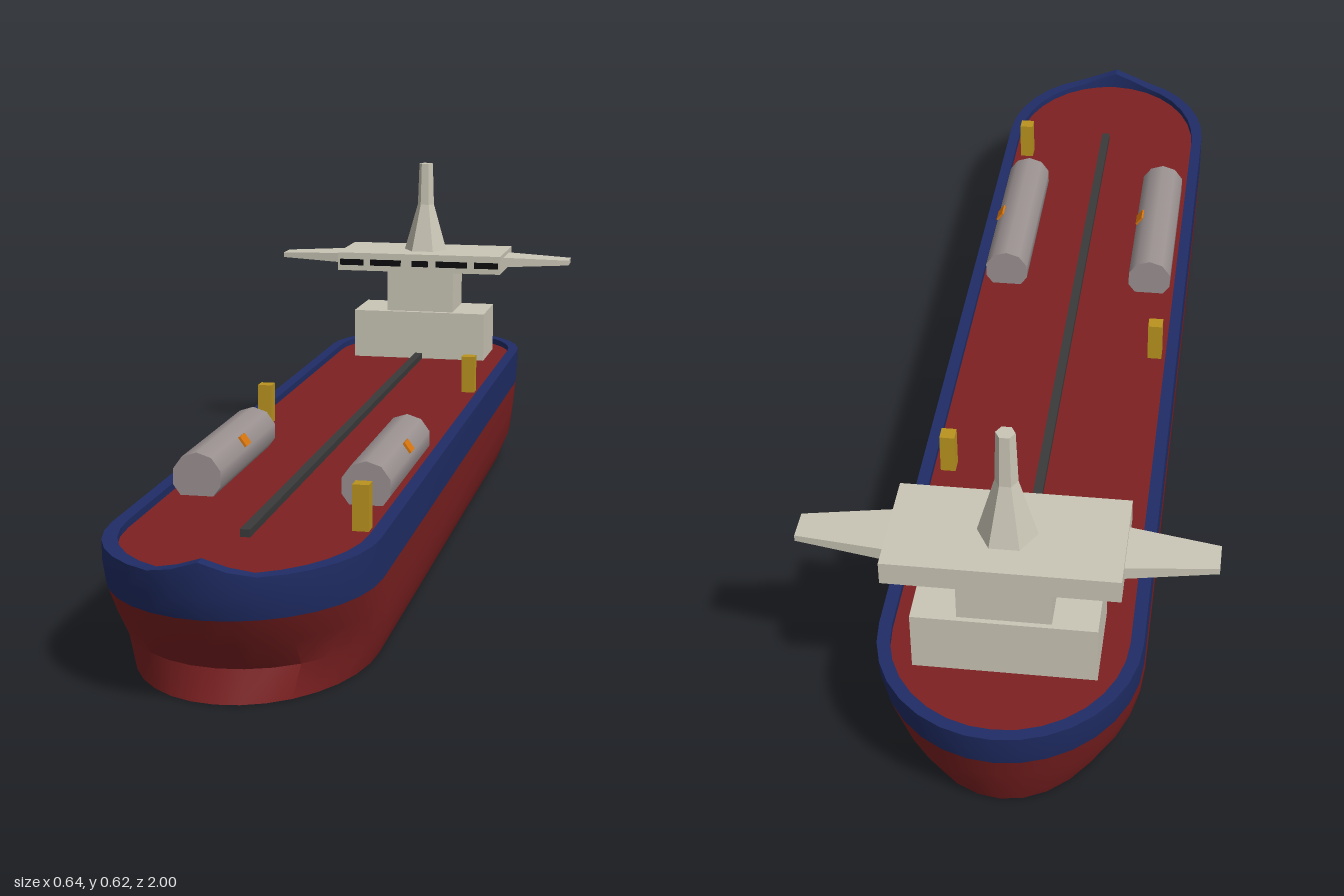
import * as THREE from 'three';
import { toCreasedNormals } from 'three/addons/utils/BufferGeometryUtils.js';

const mat = (name, color) => {
  const m = new THREE.MeshStandardMaterial({ color });
  m.name = name;
  return m;
};

const N = 8; // outline segments per quarter

// Closed waterline: bow tip -> left side -> stern -> right side
function ring(y, w, bow, stern, bowLen, sternLen, peak = 0) {
  const half = [];
  for (let i = 0; i <= N; i++) {
    const a = (i / N) * Math.PI / 2;
    half.push([w * Math.sin(a), bow - bowLen * (1 - Math.cos(a))]);
  }
  for (let i = 0; i <= N; i++) {
    const a = (i / N) * Math.PI / 2;
    half.push([w * Math.cos(a), stern + sternLen * (1 - Math.sin(a))]);
  }
  const other = half.slice(1, -1).reverse().map(([x, z]) => [-x, z]);
  return [...half, ...other].map(([x, z]) => {
    const rise = z > 0 ? peak * Math.max(0, 1 - Math.abs(x) / 0.065) : 0;
    return new THREE.Vector3(x, y + rise, z);
  });
}

// Skin between successive rings, with optional flat caps
function loft(rings, capBottom = false, capTop = false) {
  const pos = [];
  const tri = (...vs) => vs.forEach((v) => pos.push(v.x, v.y, v.z));
  const n = rings[0].length;
  for (let k = 0; k < rings.length - 1; k++) {
    for (let i = 0; i < n; i++) {
      const j = (i + 1) % n;
      const [a, b, c, d] = [rings[k][i], rings[k][j], rings[k + 1][j], rings[k + 1][i]];
      tri(a, b, c);
      tri(a, c, d);
    }
  }
  const cap = (r, up) => {
    const mid = new THREE.Vector3(0, r[0].y, 0);
    for (let i = 0; i < n; i++) {
      const j = (i + 1) % n;
      if (up) tri(mid, r[i], r[j]);
      else tri(mid, r[j], r[i]);
    }
  };
  if (capBottom) cap(rings[0], false);
  if (capTop) cap(rings[rings.length - 1], true);
  const g = new THREE.BufferGeometry();
  g.setAttribute('position', new THREE.Float32BufferAttribute(pos, 3));
  return toCreasedNormals(g, 0.6);
}

export function createModel() {
  const red = mat('hull red', 0x7d2021);
  const blue = mat('hull blue', 0x202d66);
  const cream = mat('cream', 0xcac6b6);
  const grey = mat('tank grey', 0x9c9292);
  const yellow = mat('yellow', 0xb9931f);
  const dark = mat('pipe grey', 0x3a3a3a);
  const black = mat('window black', 0x0b0b0d);
  const orange = mat('orange', 0xd9760f);

  const model = new THREE.Group();
  model.name = 'tankerShip';
  const add = (name, geo, material, x = 0, y = 0, z = 0) => {
    const m = new THREE.Mesh(geo, material);
    m.name = name;
    m.position.set(x, y, z);
    model.add(m);
    return m;
  };
  // Box given by its limits in x, y, z
  const box = (name, material, x0, x1, y0, y1, z0, z1) =>
    add(name, new THREE.BoxGeometry(x1 - x0, y1 - y0, z1 - z0), material,
      (x0 + x1) / 2, (y0 + y1) / 2, (z0 + z1) / 2);

  // Hull
  const seam = ring(0.145, 0.209, 0.984, -0.985, 0.25, 0.23);
  add('lowerHull', loft([
    ring(0, 0.187, 0.925, -0.93, 0.27, 0.3),
    ring(0.05, 0.206, 0.912, -0.952, 0.27, 0.28),
    ring(0.1, 0.208, 0.957, -0.97, 0.27, 0.25),
    seam,
  ], true), red);
  const inner = [0.188, 0.978, -0.98, 0.24, 0.2];
  add('upperHull', loft([
    seam,
    ring(0.18, 0.209, 0.998, -0.995, 0.25, 0.22),
    ring(0.212, 0.209, 1, -1, 0.25, 0.22, 0.022),
    ring(0.212, ...inner, 0.022),
    ring(0.2, ...inner),
  ]), blue);
  add('deck', loft([ring(0.2, ...inner)], false, true), red);

  // Deck pipe
  box('deckPipe', dark, -0.008, 0.008, 0.198, 0.212, -0.72, 0.75);

  // Cargo tanks, each with a small orange plate
  const tankGeo = new THREE.CylinderGeometry(0.042, 0.042, 0.355, 10).rotateX(Math.PI / 2);
  for (const [x, z] of [[0.14, 0.345], [-0.14, 0.36]]) {
    add('tank', tankGeo, grey, x, 0.23, 0.355);
    const a = Math.PI / 5;
    const plate = add('tankPlate', new THREE.BoxGeometry(0.008, 0.02, 0.03), orange,
      x + 0.04 * Math.cos(a), 0.23 + 0.04 * Math.sin(a), z);
    plate.rotation.z = a;
  }

  // Yellow posts
  for (const [x, z] of [[0.163, 0.67], [0.163, -0.38], [-0.167, -0.02]]) {
    box('deckPost', yellow, x - 0.013, x + 0.013, 0.198, 0.273, z - 0.013, z + 0.013);
  }

  // Superstructure
  box('deckHouse', cream, -0.144, 0.144, 0.198, 0.303, -0.853, -0.708);
  box('tower', cream, -0.073, 0.073, 0.3, 0.395, -0.845, -0.72);
  box('bridge', cream, -0.18, 0.18, 0.393, 0.432, -0.878, -0.697);

  // Tapered bridge wings
  for (const s of [-1, 1]) {
    const g = new THREE.BoxGeometry(0.14, 0.021, 0.09);
    const p = g.attributes.position;
    for (let i = 0; i < p.count; i++) {
      if (p.getX(i) * s > 0) {
        p.setY(i, p.getY(i) * 0.5);
        p.setZ(i, p.getZ(i) * 0.55);
      }
    }
    g.computeVertexNormals();
    add('bridgeWing', g, cream, s * 0.25, 0.413, -0.793);
  }

  // Bridge windows
  for (const [x, w] of [[-0.148, 0.052], [-0.073, 0.068], [0.003, 0.036], [0.073, 0.068], [0.149, 0.052]]) {
    box('bridgeWindow', black, x - w / 2, x + w / 2, 0.405, 0.418, -0.699, -0.694);
  }

  // Six-sided mast: flared foot and slender top
  const section = (name, r0, r1, y0, y1) => {
    const g = new THREE.CylinderGeometry(r1, r0, y1 - y0, 6, 1, false, Math.PI / 2);
    add(name, toCreasedNormals(g, 0.3), cream, 0, (y0 + y1) / 2, -0.787);
  };
  section('mastFoot', 0.047, 0.018, 0.431, 0.533);
  section('mastTop', 0.018, 0.015, 0.533, 0.623);

  return model;
}
